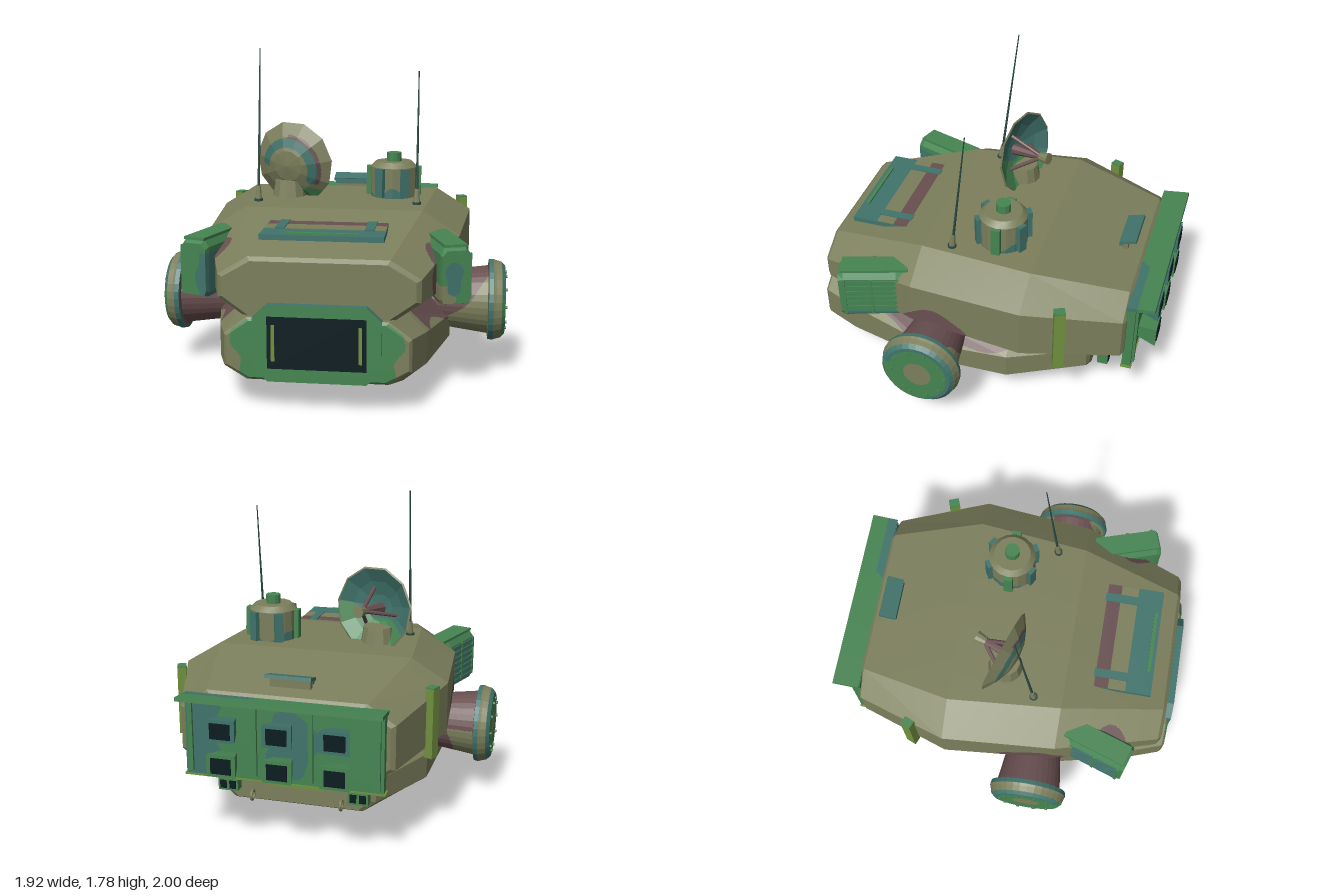
import * as THREE from 'three';
import { toCreasedNormals } from 'three/addons/utils/BufferGeometryUtils.js';

const V = (x, y, z) => new THREE.Vector3(x, y, z);

export function createModel() {
  const root = new THREE.Group();
  root.name = 'armouredCraft';
  const mat = (name, color) => Object.assign(new THREE.MeshStandardMaterial({ color }), { name });
  const olive = mat('olive', 0x7c7f5c), green = mat('green', 0x468552), teal = mat('teal', 0x41746c);
  const mauve = mat('mauve', 0x694f50), dark = mat('dark glass', 0x0a1c20), lime = mat('lime', 0x71913f);
  const darkGreen = mat('dark green', 0x2a4a42);

  const add = (name, geo, m, x = 0, y = 0, z = 0, parent = root) => {
    const mesh = new THREE.Mesh(toCreasedNormals(geo, 0.4), m);
    mesh.name = name;
    mesh.position.set(x, y, z);
    parent.add(mesh);
    return mesh;
  };
  const box = (name, w, h, d, m, x, y, z, parent) => add(name, new THREE.BoxGeometry(w, h, d), m, x, y, z, parent);
  const cyl = (name, rTop, rBot, h, m, x, y, z, n = 24, parent = root) =>
    add(name, new THREE.CylinderGeometry(rTop, rBot, h, n), m, x, y, z, parent);
  const rod = (name, a, b, rA, rB, m, parent) => {
    const mid = a.clone().add(b).multiplyScalar(0.5);
    const mesh = cyl(name, rB, rA, a.distanceTo(b), m, mid.x, mid.y, mid.z, 8, parent);
    mesh.quaternion.setFromUnitVectors(V(0, 1, 0), b.clone().sub(a).normalize());
    return mesh;
  };
  const group = (name, x, y, z, parent = root) => {
    const g = new THREE.Group();
    g.name = name;
    g.position.set(x, y, z);
    parent.add(g);
    return g;
  };

  // Camouflage: cut faces finely along colour borders and sort them into colour groups
  const paint = (name, geo, mats, rule, parent = root) => {
    const p = (geo.index ? geo.toNonIndexed() : geo).attributes.position;
    const bins = mats.map(() => []);
    const split = (a, b, c) => {
      const ab = a.distanceTo(b), bc = b.distanceTo(c), ca = c.distanceTo(a), m = Math.max(ab, bc, ca);
      const k = rule(a.clone().add(b).add(c).divideScalar(3));
      const plain = m < 0.06 && [a, b, c].every((q) => rule(q) === k);
      if (plain || m < 0.01) bins[k].push(...a, ...b, ...c);
      else if (m === ab) {
        const mid = a.clone().lerp(b, 0.5);
        split(a, mid, c);
        split(mid, b, c);
      } else if (m === bc) split(b, c, a);
      else split(c, a, b);
    };
    const at = (i) => new THREE.Vector3().fromBufferAttribute(p, i);
    for (let i = 0; i < p.count; i += 3) split(at(i), at(i + 1), at(i + 2));
    const out = new THREE.BufferGeometry();
    out.setAttribute('position', new THREE.Float32BufferAttribute(bins.flat(), 3));
    let start = 0;
    bins.forEach((b, i) => { out.addGroup(start, b.length / 3, i); start += b.length / 3; });
    out.computeVertexNormals();
    const mesh = new THREE.Mesh(out, mats);
    mesh.name = name;
    parent.add(mesh);
    return mesh;
  };

  // Loft eight-sided sections from back to front:
  // [z, top, shoulder, low, bottom, topHalf, maxHalf, bottomHalf]
  const loft = (sections) => {
    const rings = sections.map(([z, t, s, l, b, th, mh, bh]) => [
      [mh, l], [mh, s], [th, t], [-th, t], [-mh, s], [-mh, l], [-bh, b], [bh, b]].map(([x, y]) => V(x, y, z)));
    const pos = [];
    const tri = (...pts) => pts.forEach((q) => pos.push(...q));
    for (let i = 0; i + 1 < rings.length; i++) for (let j = 0; j < 8; j++) {
      const a = rings[i][j], b = rings[i][(j + 1) % 8], c = rings[i + 1][(j + 1) % 8], d = rings[i + 1][j];
      tri(a, b, c);
      tri(a, c, d);
    }
    const back = rings[0], front = rings.at(-1);
    for (let j = 1; j < 7; j++) {
      tri(back[0], back[j + 1], back[j]);
      tri(front[0], front[j], front[j + 1]);
    }
    const g = new THREE.BufferGeometry();
    g.setAttribute('position', new THREE.Float32BufferAttribute(pos, 3));
    return g;
  };

  // Hull halves
  paint('upperHull', loft([
    [-0.845, 0.825, 0.73, 0.51, 0.41, 0.41, 0.55, 0.41],
    [-0.83, 0.84, 0.74, 0.5, 0.4, 0.43, 0.575, 0.43],
    [-0.31, 0.935, 0.81, 0.53, 0.4, 0.55, 0.75, 0.56],
    [0.33, 0.92, 0.79, 0.55, 0.42, 0.49, 0.695, 0.5],
    [0.91, 0.785, 0.69, 0.57, 0.46, 0.36, 0.515, 0.36],
    [0.93, 0.765, 0.68, 0.58, 0.475, 0.345, 0.49, 0.345]]), [olive, mauve, lime], (p) => {
    if (p.y < 0.405 && p.z < -0.45 && p.z > -0.835) return 2;
    if (Math.abs(p.x) < 0.46) return 0;
    const w = 0.015 * Math.sin(p.z * 19 + p.x);
    const byArm = Math.hypot((p.z - 0.2) / 0.22, (p.y - 0.5 + w) / 0.14) < 1;
    const byPod = Math.hypot((p.z - 0.6) / 0.16, (p.y - 0.65 + w) / 0.14) < 1;
    const band = p.z > -0.12 && p.z < 0.6 && p.y < 0.5 + w;
    return byArm || byPod || band ? 1 : 0;
  });
  paint('lowerHull', loft([
    [-0.635, 0.37, 0.32, 0.22, 0.16, 0.36, 0.4, 0.34],
    [-0.62, 0.385, 0.33, 0.21, 0.15, 0.38, 0.43, 0.36],
    [-0.2, 0.41, 0.34, 0.2, 0.096, 0.54, 0.63, 0.48],
    [0.3, 0.44, 0.33, 0.21, 0.1, 0.56, 0.65, 0.5],
    [0.77, 0.475, 0.38, 0.21, 0.112, 0.44, 0.54, 0.42],
    [0.965, 0.485, 0.4, 0.23, 0.16, 0.36, 0.475, 0.36],
    [0.98, 0.47, 0.39, 0.24, 0.175, 0.345, 0.46, 0.345]]), [olive, mauve, green], (p) => {
    if (p.z > 0.972) return Math.abs(p.x) - 0.41 > 0.3 * (p.y - 0.3) + 0.015 * Math.sin(p.y * 40) ? 0 : 2;
    const w = 0.02 * Math.sin(p.z * 14);
    return Math.abs(p.x) > 0.42 && p.y > 0.385 + w - 0.06 * Math.exp(-(((p.z - 0.2) / 0.3) ** 2)) && p.z < 0.72 ? 1 : 0;
  });

  // Front window
  const plate = new THREE.Shape([[-0.25, -0.2], [0.25, -0.2], [0.325, -0.13], [0.325, 0.13], [0.25, 0.2],
    [-0.25, 0.2], [-0.325, 0.13], [-0.325, -0.13]].map(([x, y]) => new THREE.Vector2(x, y)));
  add('windowFrame', new THREE.ExtrudeGeometry(plate, { depth: 0.04, bevelEnabled: false }), [green, teal], 0, 0.36, 0.952);
  box('window', 0.5, 0.27, 0.008, dark, 0, 0.365, 0.993);
  for (const s of [1, -1]) box('windowBar', 0.018, 0.19, 0.006, lime, s * 0.22, 0.365, 0.998);

  // Base ring under the hull
  cyl('baseNeck', 0.24, 0.24, 0.1, olive, 0, 0.07, 0.19, 32);
  cyl('baseFlange', 0.25, 0.26, 0.025, green, 0, 0.018, 0.19, 32);
  cyl('baseRim', 0.262, 0.262, 0.012, olive, 0, 0.034, 0.19, 32);
  cyl('basePlate', 0.235, 0.235, 0.01, green, 0, 0.005, 0.19, 32);

  for (const s of [1, -1]) {
    // Side arms with bolted discs
    const profile = [[0.15, 0.45], [0.155, 0.6], [0.19, 0.855], [0.223, 0.86], [0.226, 0.885], [0.22, 0.9],
      [0.212, 0.93], [0.19, 0.95], [0.08, 0.95], [0, 0.95]].map(([r, y]) => new THREE.Vector2(r, y));
    const arm = new THREE.LatheGeometry(profile, 32).rotateZ(-s * Math.PI / 2).translate(0, 0.4, 0.21);
    paint('sideArm', arm, [olive, mauve, green, teal], (p) => {
      const x = Math.abs(p.x), dy = p.y - 0.4, dz = p.z - 0.21, r = Math.hypot(dy, dz);
      if (x > 0.931) {
        if (r < 0.08) return 0;
        return r > 0.17 && dy - dz > -0.12 + 0.03 * Math.sin(p.z * 25) ? 3 : 2;
      }
      if (x > 0.886) return 0;
      if (x > 0.858) return 3;
      const w = 0.02 * Math.sin(p.y * 25 + p.z * 18);
      if (s < 0) return x > 0.72 + w && dz < -0.03 && dy < 0.03 + w ? 0 : 1;
      return dy > x - 0.71 + w ? 1 : 0;
    });
    for (let i = 0; i < 10; i++) {
      const a = i * Math.PI / 5;
      cyl('armBolt', 0.009, 0.009, 0.014, green, s * 0.954, 0.4 + 0.155 * Math.sin(a), 0.21 + 0.155 * Math.cos(a), 8)
        .rotation.z = Math.PI / 2;
    }

    // Louvred shoulder pods, splayed outwards
    const pod = group('shoulderPod', s * 0.62, 0.675, 0.565);
    pod.rotation.y = s * 0.315;
    paint('podBody', loft([
      [-0.19, 0.13, 0.09, -0.11, -0.14, 0.05, 0.07, 0.06],
      [-0.12, 0.15, 0.11, -0.13, -0.15, 0.055, 0.08, 0.07],
      [0.17, 0.15, 0.11, -0.13, -0.155, 0.055, 0.08, 0.07],
      [0.2, 0.13, 0.1, -0.12, -0.145, 0.05, 0.075, 0.065]]), [green, teal, olive], (p) => {
      if (s < 0) return p.x > 0.025 + 0.015 * Math.sin(p.y * 30) && p.y < 0.08 ? 1 : 0;
      if (p.x > 0.055 || p.z < 0.1) return 0;
      const r = Math.hypot(p.x + 0.01, (p.y + 0.01) * 0.55);
      if (r < 0.045 + 0.008 * Math.sin(p.y * 50)) return 1;
      return p.y < -0.05 && p.x < 0 ? 2 : 0;
    }, pod);
    box('podRoof', 0.12, 0.015, 0.37, green, 0, 0.152, 0, pod);
    box('podSill', 0.01, 0.016, 0.32, teal, s * 0.079, -0.125, 0.02, pod);
    for (let i = 0; i < 6; i++) {
      box('podSlat', 0.008, 0.022, 0.3, s > 0 ? green : teal, s * 0.082, -0.09 + i * 0.036, 0.02, pod);
    }
    for (const z of [-0.13, 0.02, 0.17]) box('podRib', 0.014, 0.24, 0.016, green, s * 0.082, -0.01, z, pod);

    // Side fins, antennas, rear lamps and hooks
    const fin = group('sideFin', s * 0.7, 0.655, -0.515);
    fin.rotation.y = s * 0.38;
    box('finBar', 0.05, 0.385, 0.06, lime, 0, 0, 0, fin);
    box('finCap', 0.05, 0.006, 0.06, green, 0, 0.195, 0, fin);
    const x = s * 0.45, tip = s < 0 ? V(x, 1.78, 0.062) : V(x, 1.66, 0.076);
    rod('antenna', V(x, 0.96, 0.162), tip, 0.008, 0.003, darkGreen);
    rod('antennaBase', V(x, 0.9, 0.17), V(x, 1.01, 0.157), 0.022, 0.012, olive);
    cyl('antennaFoot', 0.024, 0.024, 0.02, darkGreen, x, 0.927, 0.167, 12);
    box('lampBracket', 0.05, 0.03, 0.1, olive, s * 0.36, 0.275, -0.66);
    box('lamp', 0.11, 0.07, 0.06, green, s * 0.36, 0.275, -0.71);
    for (const d of [-0.026, 0.026]) box('lampLens', 0.036, 0.045, 0.008, dark, s * 0.36 + d, 0.275, -0.741);
    add('towRing', new THREE.TorusGeometry(0.026, 0.008, 8, 16), olive, s * 0.25, 0.19, -0.66).rotation.y = Math.PI / 2;
  }
  box('rearRail', 0.6, 0.07, 0.02, olive, 0, 0.265, -0.638);
  box('rearStrip', 0.3, 0.022, 0.008, lime, 0, 0.265, -0.65);

  // Front roof hatch
  box('hatchPlate', 0.64, 0.028, 0.33, teal, 0, 0.864, 0.655);
  box('hatchMauveBand', 0.635, 0.006, 0.08, mauve, 0, 0.879, 0.533);
  box('hatchOliveBand', 0.635, 0.006, 0.1, olive, 0, 0.879, 0.623);
  for (const s of [1, -1]) box('hatchStrap', 0.05, 0.014, 0.2, teal, s * 0.235, 0.88, 0.585);
  box('hatchHandle', 0.37, 0.014, 0.02, green, 0, 0.88, 0.79);

  // Rear exhaust panel with lip and six nozzles
  paint('rearPanel', new THREE.BoxGeometry(1.06, 0.42, 0.05).translate(0, 0.6, -0.862), [green, teal], (p) => {
    if (Math.abs(p.x) > 0.525) return 0;
    const w = 0.03 * Math.sin(p.y * 22);
    return p.x > 0.36 + w || Math.hypot(p.x + 0.05 + w, (p.y - 0.6) * 0.7) < 0.13 ? 1 : 0;
  });
  box('rearPanelSill', 1.08, 0.009, 0.06, lime, 0, 0.385, -0.862);
  const lip = paint('rearLip', new THREE.BoxGeometry(1.08, 0.022, 0.15), [green, teal],
    (p) => (p.x > 0.16 + 0.02 * Math.sin(p.z * 60) && p.z > 0.02 ? 1 : 0));
  lip.position.set(0, 0.822, -0.915);
  lip.rotation.x = 0.12;
  for (const x of [-0.5, -0.15, 0.15, 0.5]) box('panelRib', 0.025, 0.38, 0.02, green, x, 0.6, -0.892);
  for (const x of [-0.3, 0, 0.3]) for (const y of [0.49, 0.68]) {
    const nozzle = new THREE.CylinderGeometry(0.085, 0.055, 0.105, 4).rotateY(Math.PI / 4).rotateX(-Math.PI / 2);
    add('nozzle', nozzle.scale(1.3, 1, 1), y > 0.6 ? teal : green, x, y, -0.938);
    box('nozzleMouth', 0.11, 0.085, 0.008, dark, x, y, -0.992);
  }

  // Rear roof marker
  box('markerStand', 0.22, 0.05, 0.03, olive, 0, 0.885, -0.735);
  box('markerPlate', 0.25, 0.018, 0.095, teal, 0, 0.918, -0.75).rotation.x = 0.25;
  box('markerLamp', 0.23, 0.03, 0.02, teal, 0, 0.895, -0.71);

  // Cupola with ring of six periscopes
  const cupola = group('cupola', 0.305, 0.91, -0.085);
  paint('cupolaDrum', new THREE.CylinderGeometry(0.135, 0.135, 0.19, 16).translate(0, 0.095, 0), [olive, teal],
    (p) => (p.y < 0.045 + 0.03 * Math.sin(p.x * 30 + p.z * 12) ? 1 : 0), cupola);
  cyl('cupolaRoof', 0.105, 0.135, 0.03, olive, 0, 0.205, 0, 16, cupola);
  cyl('cupolaKnob', 0.042, 0.042, 0.05, green, 0, 0.245, 0, 12, cupola);
  for (let i = 0; i < 6; i++) {
    const a = (i + 0.5) * Math.PI / 3;
    box('periscope', 0.05, 0.165, 0.035, i % 3 === 1 ? green : teal, 0.14 * Math.sin(a), 0.107, 0.14 * Math.cos(a), cupola)
      .rotation.y = a;
  }

  // Dish aerial facing backwards
  cyl('dishPedestal', 0.085, 0.105, 0.12, olive, -0.3, 0.96, -0.02, 12);
  const dish = group('dish', -0.305, 1.105, 0.055);
  dish.quaternion.setFromUnitVectors(V(0, 1, 0), V(0.32, 0.12, -0.94).normalize());
  const bowl = (pts) => new THREE.LatheGeometry(pts.map(([r, y]) => new THREE.Vector2(r, y)), 11);
  paint('dishBack', bowl([[0, 0], [0.09, 0.012], [0.17, 0.045], [0.246, 0.095], [0.236, 0.1]]), [olive, teal, mauve, green], (p) => {
    const r = Math.hypot(p.x, p.z + 0.02);
    if (p.z < -0.09 && p.x > 0.06) return 3;
    if (p.z < -0.1 && p.x > 0) return 2;
    if (p.z < -0.06 || r < 0.125) return 0;
    if (r < 0.175) return 1;
    return r < 0.195 && p.x > -0.06 ? 2 : 0;
  }, dish);
  paint('dishBowl', bowl([[0.236, 0.1], [0.16, 0.055], [0.08, 0.025], [0, 0.015]]), [teal, green],
    (p) => (p.x * 0.7 - p.z > 0.06 + 0.02 * Math.sin(p.x * 30) ? 1 : 0), dish);
  for (let i = 0; i < 3; i++) {
    const a = i * Math.PI * 2 / 3;
    rod('feedStrut', V(0.12 * Math.sin(a), 0.04, 0.12 * Math.cos(a)), V(0, 0.22, 0), 0.011, 0.011, mauve, dish);
  }
  rod('feedBoom', V(0, 0.01, 0), V(0, 0.21, 0), 0.035, 0.018, mauve, dish);
  cyl('feedHorn', 0.035, 0.025, 0.06, olive, 0, 0.235, 0, 10, dish);
  return root;
}
